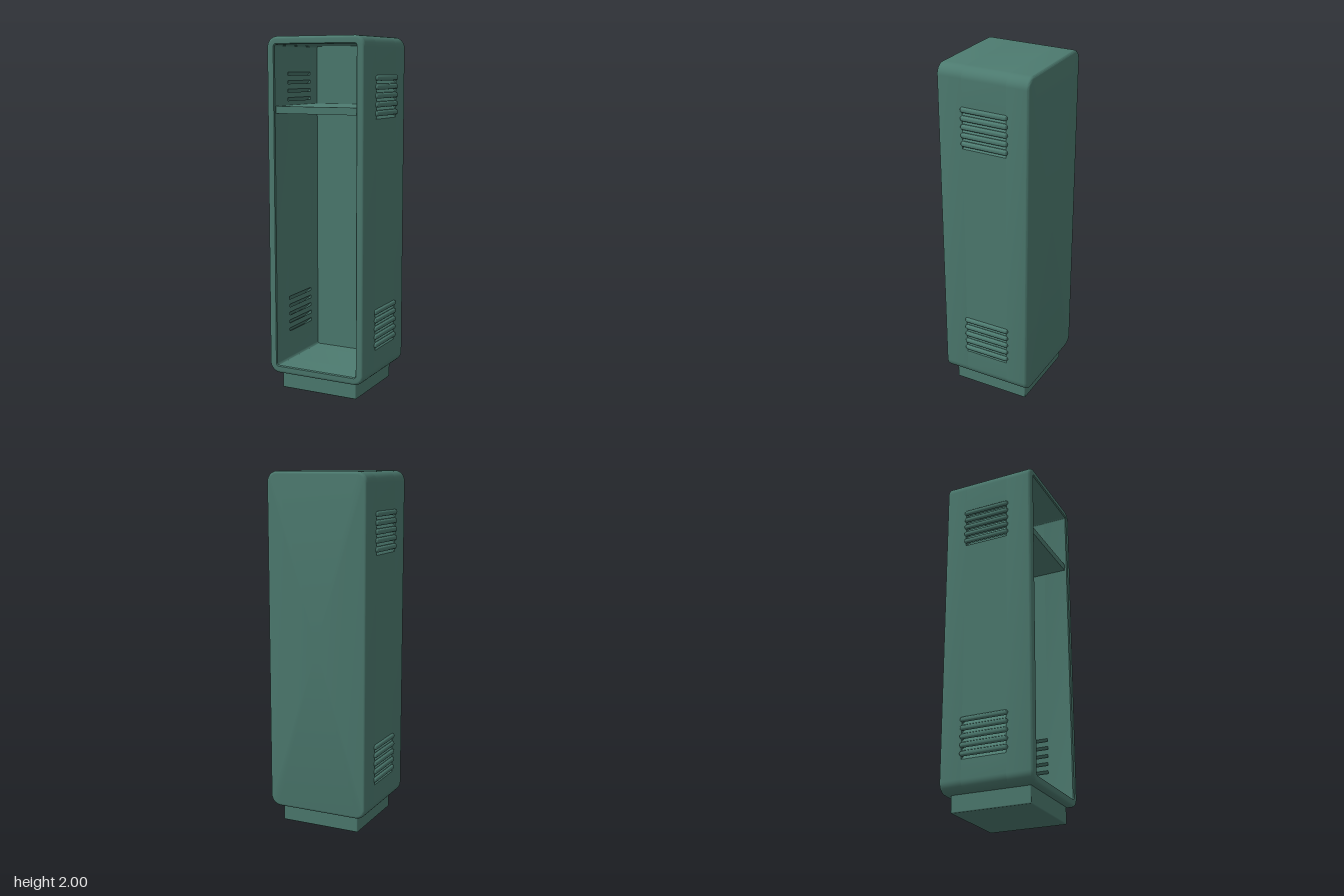
import * as THREE from 'three';
import { toCreasedNormals } from 'three/addons/utils/BufferGeometryUtils.js';
import { RoundedBoxGeometry } from 'three/addons/geometries/RoundedBoxGeometry.js';

const STEPS = 8;                       // segments per rounded corner
const CY = 1.0475;                     // height of the cabinet's middle
const OUT = [0.298, 0.9525, 0.06];     // outer half width, half height, corner radius
const INN = [0.25, 0.908, 0.012];      // the same for the opening
const Z_BACK = -0.14, Z_FRONT = 0.12;  // depth range of the vent slots
const SLOT = 0.018, PITCH = 0.0475, SLOPE = 0.043;

// Rounded rectangle, counter-clockwise from the top right corner
function ring([hw, hh, r]) {
  const pts = [];
  for (let c = 0; c < 4; c++) {
    const sx = c === 0 || c === 3 ? 1 : -1, sy = c < 2 ? 1 : -1;
    for (let i = 0; i <= STEPS; i++) {
      const a = (c + i / STEPS) * Math.PI / 2;
      pts.push(new THREE.Vector2(sx * (hw - r) + r * Math.cos(a), CY + sy * (hh - r) + r * Math.sin(a)));
    }
  }
  return pts;
}

// Skin over a list of [size, z] rings
function loft(rings) {
  const pos = [], idx = [], n = 4 * (STEPS + 1);
  rings.forEach(([size, z]) => ring(size).forEach(p => pos.push(p.x, p.y, z)));
  for (let i = 0; i < rings.length - 1; i++) {
    for (let j = 0; j < n; j++) {
      const k = (j + 1) % n, a = i * n + j, b = i * n + k, d = a + n, c = b + n;
      idx.push(a, d, c, a, c, b);
    }
  }
  const g = new THREE.BufferGeometry();
  g.setAttribute('position', new THREE.Float32BufferAttribute(pos, 3));
  g.setIndex(idx);
  return toCreasedNormals(g, 0.6);
}

// Rounded edge from a flat end (zEnd) to the outer wall
function roundedEdge(zEnd, radius) {
  const out = [];
  for (let i = 0; i <= 4; i++) {
    const a = i / 4 * Math.PI / 2, inset = radius * (1 - Math.sin(a));
    out.push([[OUT[0] - inset, OUT[1] - inset, OUT[2] - inset], zEnd - Math.sign(zEnd) * radius * (1 - Math.cos(a))]);
  }
  return out;
}

export function createModel() {
  const group = new THREE.Group();
  const green = new THREE.MeshStandardMaterial({ color: 0x4d7b70 });
  green.name = 'locker green';
  const add = (name, geo, parent = group) => {
    const m = new THREE.Mesh(geo, green);
    m.name = name;
    parent.add(m);
    return m;
  };

  // Front rim of the cabinet
  add('frontFrame', loft([
    [INN, Z_FRONT], [INN, 0.264], [[0.255, 0.913, 0.017], 0.27],
    ...roundedEdge(0.27, 0.016), [OUT, Z_FRONT], [INN, Z_FRONT],
  ]));

  // Closed back of the cabinet
  const dot = [0.001, 0.001, 0.0005];
  add('backShell', loft([
    [dot, -0.225], [INN, -0.225], [INN, Z_BACK], [OUT, Z_BACK],
    ...roundedEdge(-0.27, 0.016).reverse(), [dot, -0.27],
  ]));

  // Middle section, sliced by sloping vent slots
  const slots = [0.262, 1.555].flatMap(y => [0, 1, 2, 3, 4].map(i => y + i * PITCH));
  const slice = pts => {
    const g = new THREE.ExtrudeGeometry(new THREE.Shape(pts), { depth: Z_FRONT - Z_BACK, bevelEnabled: false });
    g.translate(0, 0, Z_BACK);
    return toCreasedNormals(g, 0.6);
  };
  const V = (x, y) => new THREE.Vector2(x, y);
  const half = 2 * (STEPS + 1);
  const endPiece = (s, y) => {
    const cut = p => (s > 0 ? p.slice(0, half) : p.slice(half));
    return slice([
      ...cut(ring(OUT)), V(-s * OUT[0], y), V(-s * INN[0], y + SLOPE),
      ...cut(ring(INN)).reverse(), V(s * INN[0], y + SLOPE), V(s * OUT[0], y),
    ]);
  };
  add('lowerShell', endPiece(-1, slots[0]));
  add('upperShell', endPiece(1, slots[9] + SLOT));
  for (const s of [1, -1]) {
    const side = new THREE.Group();
    side.name = s > 0 ? 'leftWall' : 'rightWall';
    group.add(side);
    for (let i = 0; i < 9; i++) {
      const lo = slots[i] + SLOT, hi = slots[i + 1];
      add(i === 4 ? 'wallPanel' : 'ventSlat', slice([
        V(s * OUT[0], lo), V(s * OUT[0], hi), V(s * INN[0], hi + SLOPE), V(s * INN[0], lo + SLOPE),
      ]), side);
    }
    // Rounded hoods above the slots
    for (const y of slots) {
      const g = new THREE.CapsuleGeometry(0.015, 0.25, 6, 16);
      g.rotateX(Math.PI / 2);
      const p = g.attributes.position;
      for (let i = 0; i < p.count; i++) p.setX(i, s * Math.max(s * p.getX(i) * 0.93, -0.001));
      g.computeVertexNormals();
      add('ventHood', toCreasedNormals(g, 0.7), side).position.set(s * OUT[0], y + 0.03, -0.01);
    }
  }

  // Shelf and plinth
  add('shelf', new THREE.BoxGeometry(0.5, 0.04, 0.477)).position.set(0, 1.6, 0.0135);
  add('plinth', new RoundedBoxGeometry(0.47, 0.11, 0.46, 2, 0.006)).position.set(0, 0.055, 0);
  return group;
}
